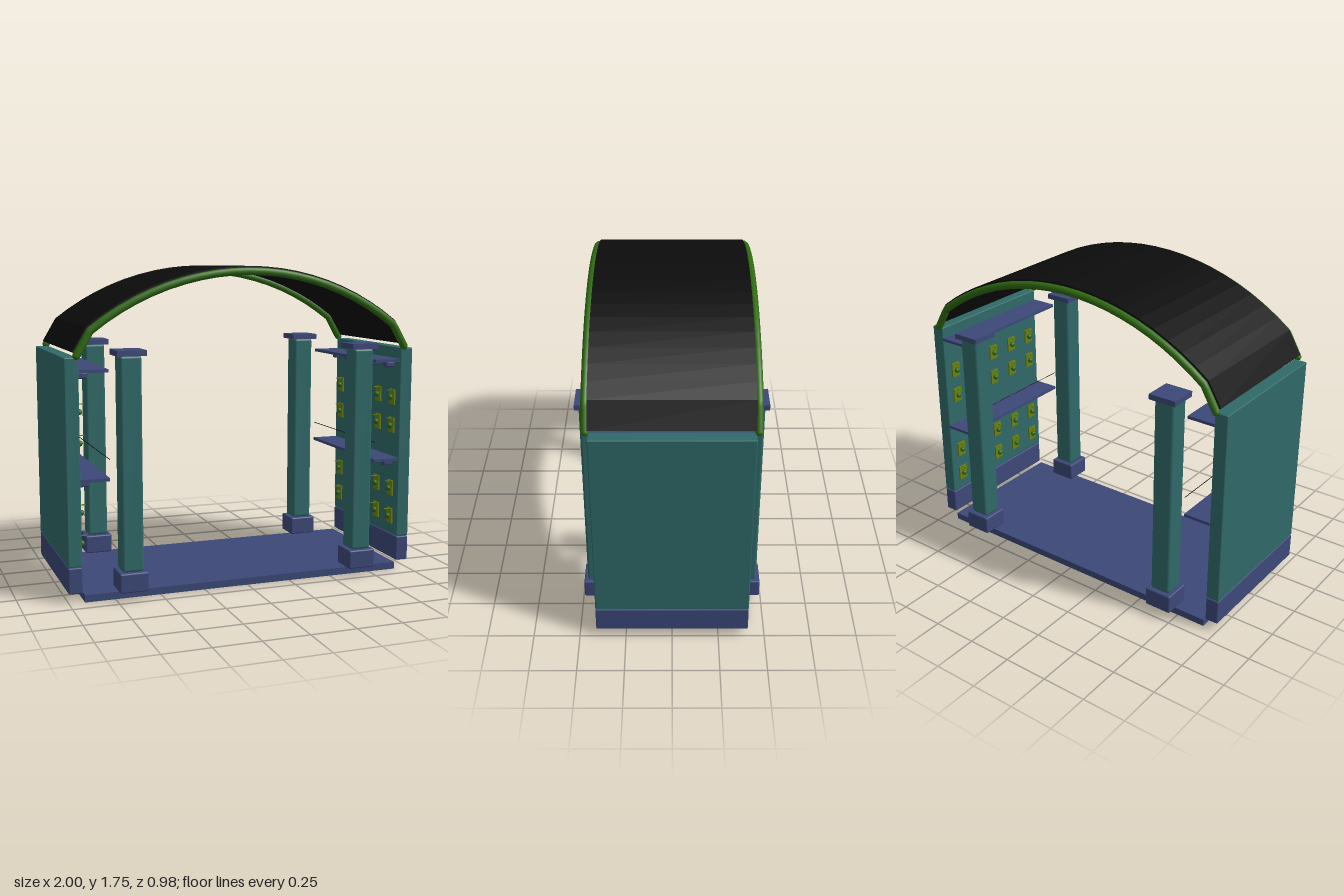
import * as THREE from 'three';
import { RoundedBoxGeometry } from 'three/addons/geometries/RoundedBoxGeometry.js';

const mat = (color) => new THREE.MeshStandardMaterial({ color });
const stone = mat(0x2f6a68), trim = mat(0x3c4878), green = mat(0x2f6a10), brass = mat(0x6a8010);
const black = mat(0x0c0c0c);
black.side = THREE.DoubleSide;

export function createModel() {
  const model = new THREE.Group();

  const add = (name, geometry, material, x, y, z, parent = model) => {
    const mesh = new THREE.Mesh(geometry, material);
    mesh.name = name;
    mesh.position.set(x, y, z);
    parent.add(mesh);
    return mesh;
  };
  // Box given by its centre in x and z and its bottom and top
  const block = (name, material, w, y0, y1, d, x, z, r = 0, parent = model) => add(
    name,
    r ? new RoundedBoxGeometry(w, y1 - y0, d, 2, r) : new THREE.BoxGeometry(w, y1 - y0, d),
    material, x, (y0 + y1) / 2, z, parent);

  block('floor', trim, 1.83, 0, 0.04, 0.82, 0, 0);

  // Four square columns with softened corners
  for (const sx of [-1, 1]) {
    for (const sz of [-1, 1]) {
      const column = new THREE.Group();
      column.name = 'column';
      column.position.set(0.665 * sx, 0, 0.41 * sz);
      model.add(column);
      block('columnBase', trim, 0.156, 0.05, 0.155, 0.156, 0, 0, 0.008, column);
      block('columnShaft', stone, 0.116, 0.155, 1.295, 0.116, 0, 0, 0.014, column);
      block('columnCapital', trim, 0.156, 1.295, 1.325, 0.156, 0, 0, 0, column);
    }
  }

  // Side walls with plinth, shelves, brackets, rail and hooks
  const zs = [-0.33, -0.165, 0, 0.165, 0.33];
  for (const s of [-1, 1]) {
    const side = new THREE.Group();
    side.name = s > 0 ? 'leftSide' : 'rightSide';
    model.add(side);
    block('wall', stone, 0.075, 0.194, 1.29, 0.82, 0.9625 * s, 0, 0.006, side);
    block('plinth', trim, 0.075, 0.05, 0.19, 0.82, 0.9625 * s, 0, 0.006, side);

    for (const y of [0.64, 1.21]) {
      block('shelf', trim, 0.155, y, y + 0.016, 0.82, 0.8475 * s, 0, 0, side);
      for (const z of zs) {
        block('shelfBracket', trim, 0.057, y - 0.036, y - 0.002, 0.04, 0.894 * s, z, 0.008, side);
      }
    }
    const rail = add('shelfRail', new THREE.CylinderGeometry(0.002, 0.002, 0.82, 6),
      black, 0.77 * s, 0.755, 0, side);
    rail.rotation.x = Math.PI / 2;

    for (const y of [0.3, 0.465, 0.835, 1.0]) {
      for (const z of zs) {
        const hook = new THREE.Group();
        hook.name = 'wallHook';
        hook.position.set(0.925 * s, y, z);
        side.add(hook);
        block('hookPlate', brass, 0.01, -0.042, 0.046, 0.06, -0.004 * s, 0, 0, hook);
        add('hookKnob', new THREE.SphereGeometry(0.016, 10, 8), green, -0.016 * s, 0, 0, hook);
        block('hookLip', brass, 0.034, 0.04, 0.044, 0.012, -0.022 * s, 0, 0, hook);
      }
    }
  }

  // Vault profile: a shallow arc with a steep leg at each end, offset outward
  const profile = (offset, foot) => {
    const R = 1.41 + offset, yc = 1.722 - 1.41;
    const a = Math.asin(0.865 / 1.41), n = 20, pts = [];
    for (let i = 0; i <= n; i++) {
      const t = -a + (2 * a * i) / n;
      pts.push(new THREE.Vector2(R * Math.sin(t), yc + R * Math.cos(t)));
    }
    return [new THREE.Vector2(-foot.x, foot.y), ...pts, foot];
  };

  // Curved roof sheet
  const outer = profile(0.028, new THREE.Vector2(0.958, 1.32));
  const inner = profile(0.012, new THREE.Vector2(0.944, 1.312));
  const roof = new THREE.ExtrudeGeometry(new THREE.Shape([...outer, ...inner.reverse()]),
    { depth: 0.82, bevelEnabled: false });
  add('roof', roof, black, 0, 0, -0.41);

  // Round ribs with capped ends along the front and back of the roof
  const path = new THREE.CurvePath();
  const line = profile(0, new THREE.Vector2(0.938, 1.3))
    .map((p) => new THREE.Vector3(p.x, p.y, 0));
  for (let i = 1; i < line.length; i++) path.add(new THREE.LineCurve3(line[i - 1], line[i]));
  const rib = new THREE.TubeGeometry(path, 88, 0.021, 10, false);
  for (const s of [-1, 1]) {
    add(s > 0 ? 'frontRib' : 'backRib', rib, green, 0, 0, 0.421 * s);
    for (const e of [-1, 1]) {
      add('ribEnd', new THREE.SphereGeometry(0.0205, 10, 6), green, 0.938 * e, 1.3, 0.421 * s);
    }
  }

  return model;
}
